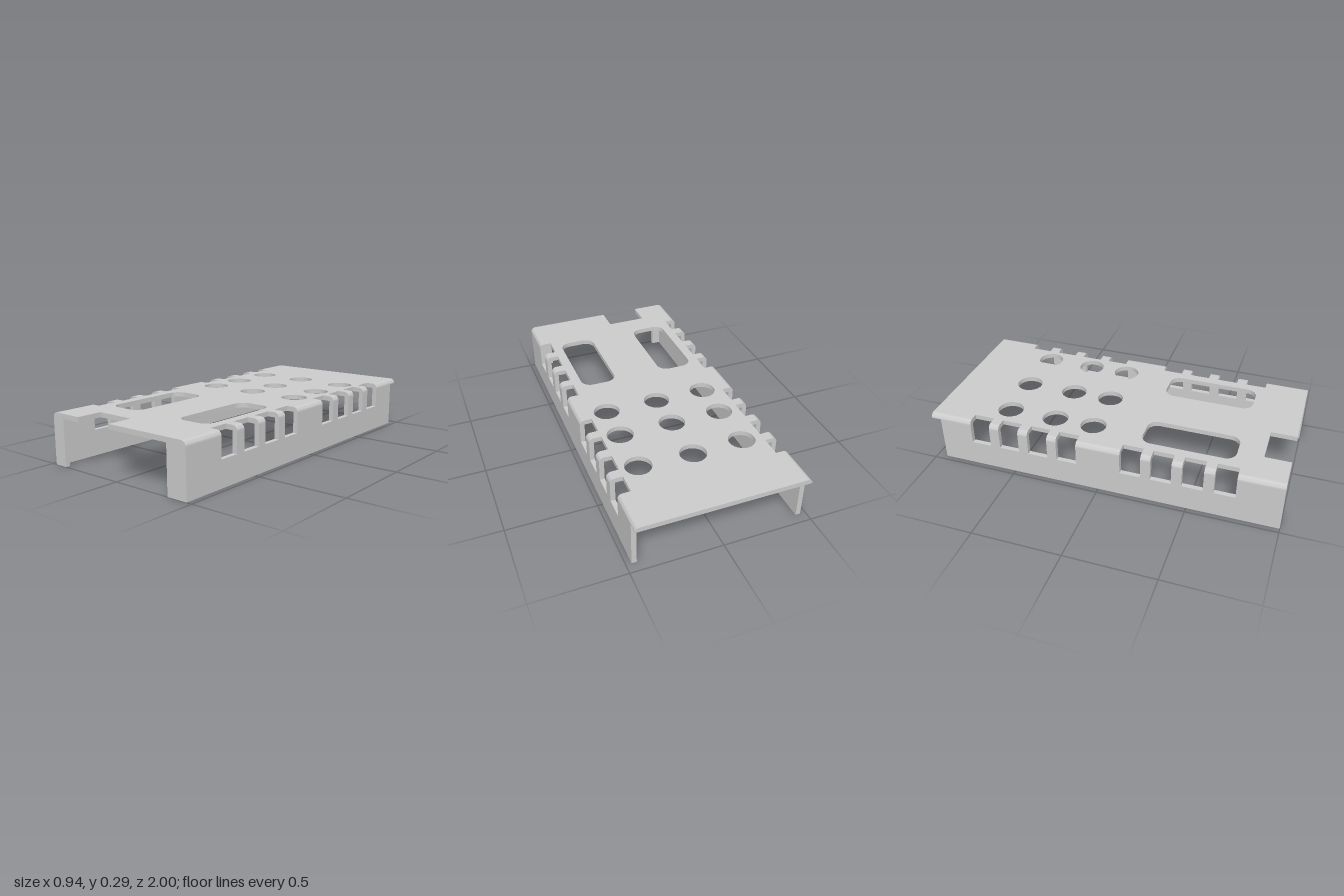
import * as THREE from 'three';
import { toCreasedNormals } from 'three/addons/utils/BufferGeometryUtils.js';

const W = 0.47, H = 0.287, T = 0.027;   // half width, height, sheet thickness
const BACK = -1, FRONT = 1, WALL_BACK = -0.943;
const SLOT_IN = 0.4, SLOT_Y = 0.145;    // how far edge slots reach into roof and wall
const half = [[0.125, 0.24], [0.295, 0.41], [0.467, 0.583], [0.64, 0.755]];
const slots = [...half.map(([a, b]) => [-b, -a]).reverse(), ...half];

const material = new THREE.MeshStandardMaterial({ color: 0xcccccc });

const polygon = (points) => new THREE.Shape(points.map(([x, y]) => new THREE.Vector2(x, y)));

function extrude(shape, depth) {
  const g = new THREE.ExtrudeGeometry(shape, { depth, bevelEnabled: false, curveSegments: 12 });
  return toCreasedNormals(g, Math.PI / 6);
}

function add(group, name, geometry) {
  const mesh = new THREE.Mesh(geometry, material);
  mesh.name = name;
  group.add(mesh);
}

function roundedHole(x, z, w, d, r) {
  const p = new THREE.Path();
  const x1 = x + w, z1 = z + d;
  p.moveTo(x + r, z);
  p.absarc(x1 - r, z + r, r, -Math.PI / 2, 0);
  p.absarc(x1 - r, z1 - r, r, 0, Math.PI / 2);
  p.absarc(x + r, z1 - r, r, Math.PI / 2, Math.PI);
  p.absarc(x + r, z + r, r, Math.PI, Math.PI * 1.5);
  p.closePath();
  return p;
}

// Flat roof outline, drawn in x and z, with edge slots, front notch and holes
function roofGeometry() {
  const e = W - T;
  const edge = [[e, BACK]];
  for (const [a, b] of slots) edge.push([e, a], [SLOT_IN, a], [SLOT_IN, b], [e, b]);
  edge.push([e, FRONT]);
  const otherEdge = edge.map(([x, z]) => [-x, z]).reverse();
  const notch = [[-0.04, FRONT], [-0.04, 0.855], [-0.27, 0.855], [-0.27, FRONT]];
  const shape = polygon([...edge, ...notch, ...otherEdge]);

  for (const x of [-0.286, 0, 0.3]) {
    for (const z of [x === 0 ? -0.6 : -0.59, -0.315, -0.088]) {
      const hole = new THREE.Path();
      hole.absarc(x, z, 0.073, 0, Math.PI * 2, true);
      shape.holes.push(hole);
    }
  }
  for (const x of [-0.346, 0.14]) shape.holes.push(roundedHole(x, 0.198, 0.206, 0.517, 0.06));
  return extrude(shape, T).rotateX(Math.PI / 2).translate(0, H, 0);
}

// Side wall outline, drawn in z and y, with its upper edge cut by the slots
function wallGeometry(side) {
  const top = H - T;
  const pts = [[FRONT, 0], [WALL_BACK, 0], [WALL_BACK, top]];
  for (const [a, b] of slots) pts.push([a, top], [a, SLOT_Y], [b, SLOT_Y], [b, top]);
  pts.push([FRONT, top]);
  return extrude(polygon(pts), T).rotateY(-Math.PI / 2).translate(side > 0 ? W : -W + T, 0, 0);
}

// Quarter-round bend joining roof and wall over one stretch of z
function bendGeometry(side, z0, z1) {
  const pts = [[side * (W - T), H - T]];
  for (let i = 0; i <= 8; i++) {
    const a = (i / 8) * Math.PI / 2;
    pts.push([side * (W - T + T * Math.cos(a)), H - T + T * Math.sin(a)]);
  }
  return extrude(polygon(pts), z1 - z0).translate(0, 0, z0);
}

export function createModel() {
  const model = new THREE.Group();
  model.name = 'ventilatedCover';
  add(model, 'roof', roofGeometry());

  for (const [side, label, flangeInner] of [[1, 'left', 0.35], [-1, 'right', 0.392]]) {
    add(model, label + 'Wall', wallGeometry(side));

    // Bends between the slots
    const cuts = [BACK, ...slots.flat(), FRONT];
    for (let i = 0; i < cuts.length; i += 2) {
      add(model, label + 'Bend', bendGeometry(side, cuts[i], cuts[i + 1]));
    }

    // Inward flange at the front end of the wall
    const w = W - T - flangeInner, h = H - T;
    const flange = new THREE.BoxGeometry(w, h, T);
    flange.translate(side * (flangeInner + w / 2), h / 2, FRONT - T / 2);
    add(model, label + 'FrontFlange', flange);
  }
  return model;
}
